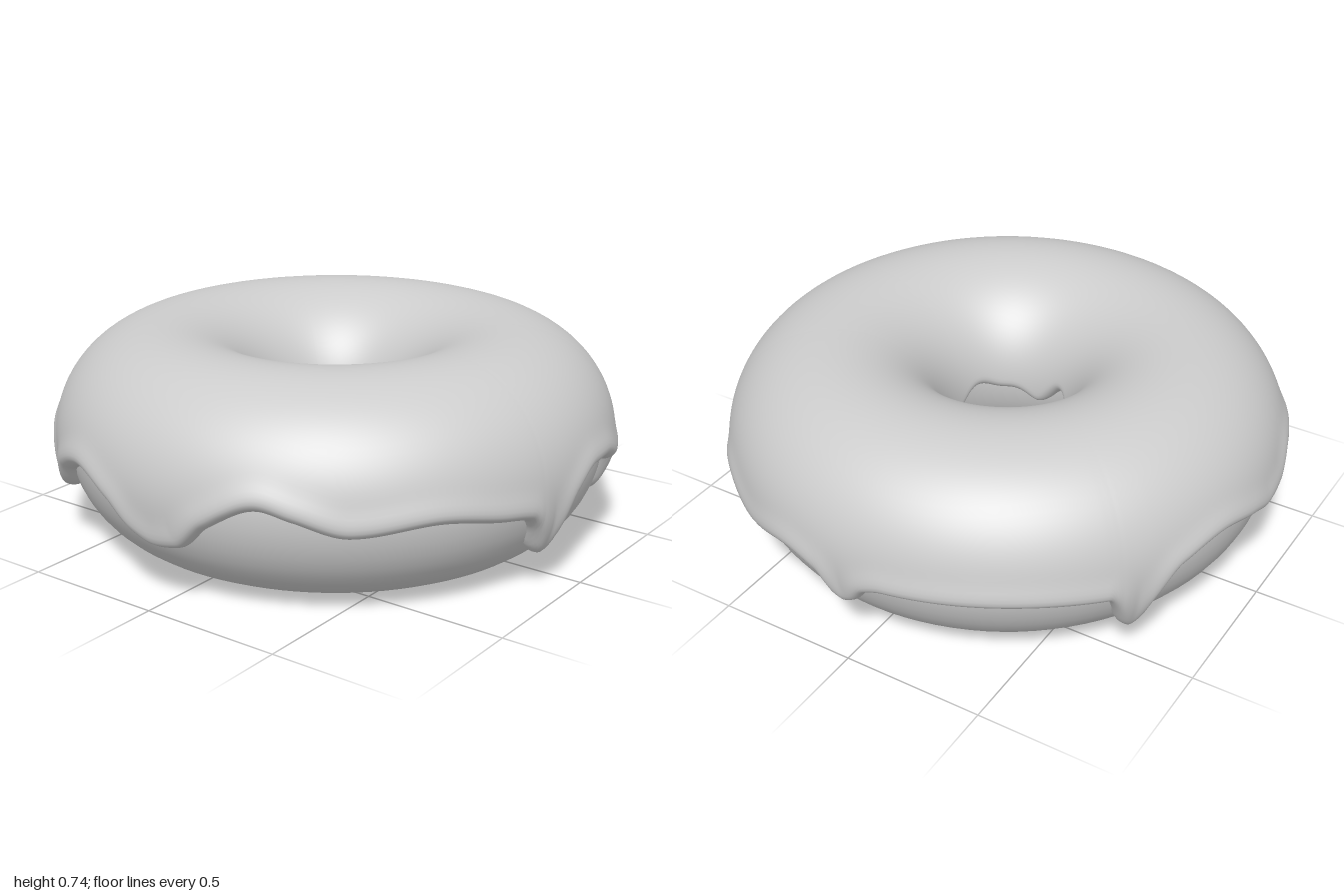
import * as THREE from 'three';
import { mergeVertices } from 'three/addons/utils/BufferGeometryUtils.js';

// Ring of dough: elliptical tube section, a = 0 outside, PI/2 top, PI inside
const RING = 0.6, MID = 0.36, RX = 0.345, LOW = 0.36, HIGH = 0.335;
const sectionPoint = (a, t = 0) => {
  const c = Math.cos(a), s = Math.sin(a), ry = s < 0 ? LOW : HIGH;
  const n = new THREE.Vector2(c / RX, s / ry).normalize();
  return new THREE.Vector2(RING + RX * c + n.x * t, MID + ry * s + n.y * t);
};

// Height of the icing's outer edge: [degrees from the front towards +x, y]
const EDGE = [
  [0, 0.21], [6, 0.225], [12, 0.31], [22, 0.385], [28, 0.36], [39, 0.31], [55, 0.335], [68, 0.305],
  [75, 0.285], [77.5, 0.24], [79, 0.17], [81.5, 0.14], [84, 0.16], [86, 0.22], [89, 0.31], [96, 0.365],
  [102, 0.36], [111, 0.31], [118, 0.295], [120, 0.24], [121.5, 0.16], [124, 0.13], [126.5, 0.155],
  [128.5, 0.24], [131, 0.295], [137, 0.325], [152, 0.285], [165, 0.315], [172, 0.29], [175, 0.23],
  [178, 0.205], [181, 0.225], [184, 0.28], [188, 0.3], [210, 0.31], [230, 0.295], [232, 0.24],
  [233.5, 0.17], [236, 0.14], [238.5, 0.165], [241, 0.26], [246, 0.35], [256, 0.385], [266, 0.355],
  [273, 0.325], [280, 0.335], [289, 0.385], [308, 0.345], [314, 0.27], [318.5, 0.2], [323, 0.23],
  [328, 0.31], [338, 0.365], [348, 0.31], [354, 0.24],
];

// Smooth interpolation without overshoot
function edgeHeight(deg) {
  const n = EDGE.length;
  const at = (i) => {
    const p = EDGE[((i % n) + n) % n];
    return [p[0] + 360 * Math.floor(i / n), p[1]];
  };
  const slope = (i) => (at(i + 1)[1] - at(i)[1]) / (at(i + 1)[0] - at(i)[0]);
  const tangent = (i) => {
    const p = slope(i - 1), q = slope(i);
    return p * q <= 0 ? 0 : (2 * p * q) / (p + q);
  };
  let k = n - 1;
  while (EDGE[k][0] > deg) k--;
  const [x0, y0] = at(k), [x1, y1] = at(k + 1);
  const h = x1 - x0, t = (deg - x0) / h, u = 1 - t;
  return u * u * (1 + 2 * t) * y0 + t * u * u * h * tangent(k)
    + t * t * (3 - 2 * t) * y1 - t * t * u * h * tangent(k + 1);
}

function segmentDistance(px, py, ax, ay, bx, by) {
  const dx = bx - ax, dy = by - ay;
  const t = THREE.MathUtils.clamp(((px - ax) * dx + (py - ay) * dy) / (dx * dx + dy * dy), 0, 1);
  return Math.hypot(px - ax - t * dx, py - ay - t * dy);
}

function smoothClosed(geometry) {
  geometry.deleteAttribute('uv');
  geometry.deleteAttribute('normal');
  const merged = mergeVertices(geometry, 1e-5);
  merged.computeVertexNormals();
  return merged;
}

function doughGeometry() {
  const N = 48, points = [];
  for (let i = 0; i <= N; i++) points.push(sectionPoint((i / N) * Math.PI * 2));
  return smoothClosed(new THREE.LatheGeometry(points, 96));
}

// Icing: a skin over the dough whose thickness swells up from its wavy edges
function icingGeometry() {
  const COLS = 720, ROWS = 56, STEP = (Math.PI * 2) / COLS, ARC = 0.35;
  const outer = [], inner = [];
  for (let i = 0; i < COLS; i++) {
    const th = i * STEP;
    const s = (edgeHeight((i * 360) / COLS) - MID);
    outer.push(Math.asin(s / (s < 0 ? LOW : HIGH)));
    inner.push(Math.PI + 0.05 + 0.09 * Math.sin(5 * th + 0.6) + 0.05 * Math.sin(8 * th + 2));
  }
  const wrap = (i) => (i + COLS) % COLS;
  const toEdge = (edge, i, a, radius) => {
    let best = 1;
    for (let k = -14; k < 14; k++) {
      best = Math.min(best, segmentDistance(0, a * ARC,
        k * STEP * radius, edge[wrap(i + k)] * ARC,
        (k + 1) * STEP * radius, edge[wrap(i + k + 1)] * ARC));
    }
    return best;
  };
  const blank = Array.from({ length: ROWS + 1 }, (_, j) => new THREE.Vector2(1, j));
  const geometry = new THREE.LatheGeometry(blank, COLS);
  const pos = geometry.attributes.position;
  for (let c = 0; c <= COLS; c++) {
    const i = c % COLS, th = i * STEP;
    for (let j = 0; j <= ROWS; j++) {
      const f = 0.5 - 0.5 * Math.cos((Math.PI * j) / ROWS);
      const a = THREE.MathUtils.lerp(outer[i], inner[i], f);
      const d = a < Math.PI / 2 ? toEdge(outer, i, a, 0.94) : toEdge(inner, i, a, 0.255);
      const round = Math.sqrt(1 - (1 - Math.min(d / 0.035, 1)) ** 2);
      const lip = a < 1 ? 0.012 * Math.exp(-(((d - 0.04) / 0.04) ** 2)) : 0;
      const p = sectionPoint(a, -0.004 + round * (0.044 + lip));
      pos.setXYZ(c * (ROWS + 1) + j, p.x * Math.sin(th), p.y, p.x * Math.cos(th));
    }
  }
  return smoothClosed(geometry);
}

export function createModel() {
  const group = new THREE.Group();
  group.name = 'icedRing';
  const plainGrey = new THREE.MeshStandardMaterial({ color: 0xcccccc });
  plainGrey.name = 'plainGrey';
  for (const [name, geometry] of [['dough', doughGeometry()], ['icing', icingGeometry()]]) {
    const mesh = new THREE.Mesh(geometry, plainGrey);
    mesh.name = name;
    group.add(mesh);
  }
  return group;
}
